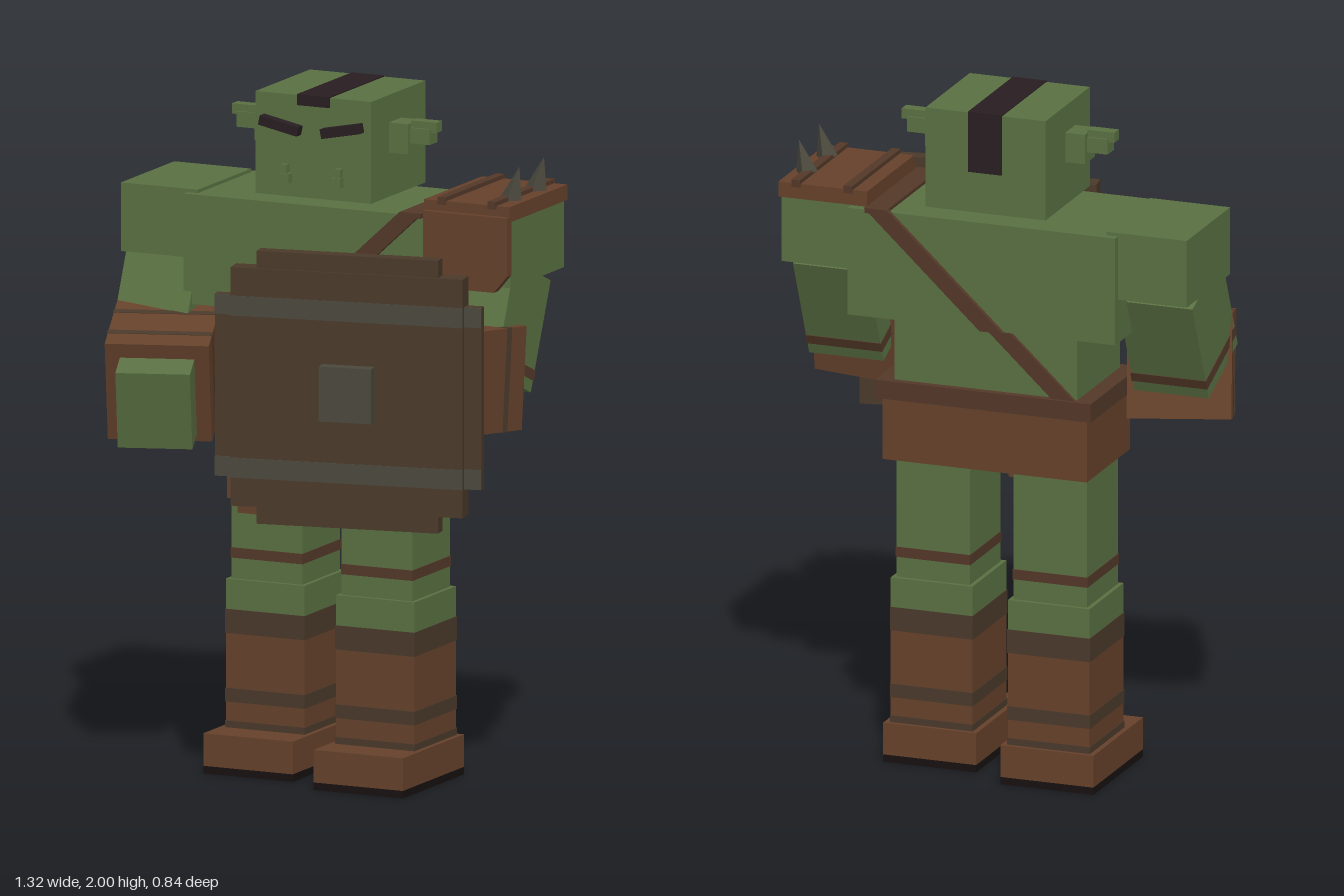
import * as THREE from 'three';

const mat = (name, color) => {
  const m = new THREE.MeshStandardMaterial({ color });
  m.name = name;
  return m;
};

export function createModel() {
  const green = mat('green skin', 0x5a7042);
  const brown = mat('leather', 0x65412b);
  const dark = mat('dark wood', 0x4a392a);
  const strapMat = mat('strap leather', 0x533828);
  const black = mat('black hair', 0x281e21);
  const sole = mat('sole', 0x171110);
  const metal = mat('dull metal', 0x4a483d);
  const model = new THREE.Group();
  const CX = -0.03; // body mirror plane

  // Box given by its extents
  const span = (name, m, x0, x1, y0, y1, z0, z1, parent = model) => {
    const mesh = new THREE.Mesh(new THREE.BoxGeometry(x1 - x0, y1 - y0, z1 - z0), m);
    mesh.position.set((x0 + x1) / 2, (y0 + y1) / 2, (z0 + z1) / 2);
    mesh.name = name;
    parent.add(mesh);
    return mesh;
  };
  // Box given by size and centre
  const block = (name, m, w, h, d, x, y, z, parent = model) =>
    span(name, m, x - w / 2, x + w / 2, y - h / 2, y + h / 2, z - d / 2, z + d / 2, parent);
  // Flat outline extruded along z
  const plate = (name, m, pts, z0, z1) => {
    const shape = new THREE.Shape(pts.map(p => new THREE.Vector2(p[0], p[1])));
    const geo = new THREE.ExtrudeGeometry(shape, { depth: z1 - z0, bevelEnabled: false });
    const mesh = new THREE.Mesh(geo, m);
    mesh.position.z = z0;
    mesh.name = name;
    model.add(mesh);
  };

  // Torso, belt and hips
  span('chest', green, -0.44, 0.38, 1.36, 1.68, -0.405, -0.015);
  span('waist', green, -0.31, 0.25, 1.15, 1.37, -0.37, -0.03);
  span('belt', strapMat, -0.36, 0.3, 1.115, 1.17, -0.392, 0);
  span('hips', brown, -0.343, 0.283, 0.93, 1.12, -0.378, -0.035);

  // Diagonal strap, front and back, stepping in at the waist
  const sx = y => 0.29 + (y - 1.69) * 1.077;
  const band = (y0, y1, z0, z1) => plate('chestStrap', strapMat, [
    [sx(y0) - 0.035, y0], [sx(y0) + 0.035, y0], [sx(y1) + 0.035, y1], [sx(y1) - 0.035, y1]], z0, z1);
  band(1.36, 1.69, -0.016, 0);
  band(1.165, 1.36, -0.035, -0.012);
  band(1.36, 1.69, -0.42, -0.404);
  band(1.165, 1.36, -0.382, -0.365);
  span('strapOverShoulder', strapMat, 0.255, 0.322, 1.675, 1.69, -0.42, 0);

  // Ragged loincloth panels with stepped hems
  for (const [x0, x1] of [[-0.29, -0.125], [-0.115, 0.035], [0.045, 0.265]]) {
    const s = 0.033;
    plate('loincloth', brown, [
      [x0, 1.12], [x0, 0.81], [x0 + s, 0.81], [x0 + s, 0.77], [x1 - s, 0.77],
      [x1 - s, 0.8], [x1, 0.8], [x1, 1.12]], -0.02, 0.008);
  }

  // Legs and boots, the left one a little ahead
  for (const s of [-1, 1]) {
    const leg = new THREE.Group();
    leg.name = s < 0 ? 'rightLeg' : 'leftLeg';
    leg.position.set(CX + s * 0.195, 0, -0.2 + s * 0.04);
    model.add(leg);
    block('thigh', green, 0.225, 0.42, 0.245, 0, 0.75, 0, leg);
    block('legStrap', strapMat, 0.229, 0.03, 0.249, 0, 0.625, 0, leg);
    block('knee', green, 0.25, 0.09, 0.27, 0, 0.505, 0, leg);
    block('boot', brown, 0.25, 0.36, 0.27, 0, 0.28, 0, leg);
    block('bootCuff', dark, 0.254, 0.07, 0.274, 0, 0.427, 0, leg);
    block('bootBand', dark, 0.254, 0.04, 0.274, 0, 0.212, 0, leg);
    block('ankleBand', dark, 0.254, 0.02, 0.274, 0, 0.127, 0, leg);
    block('foot', brown, 0.285, 0.095, 0.395, 0, 0.0695, 0.0475, leg);
    block('sole', sole, 0.285, 0.022, 0.395, 0, 0.011, 0.0475, leg);
  }

  // Head with hair strip, brows and tusks
  span('head', green, -0.215, 0.153, 1.7, 1.997, -0.375, -0.023);
  span('hairTop', black, -0.082, 0.022, 1.99, 2, -0.377, -0.021);
  span('hairBack', black, -0.082, 0.022, 1.82, 2, -0.378, -0.37);
  span('hairFront', black, -0.082, 0.022, 1.968, 2, -0.03, -0.02);
  for (const s of [-1, 1]) {
    const brow = block('eyebrow', black, 0.125, 0.028, 0.03, CX + s * 0.098, 1.908, -0.007);
    brow.rotation.z = s * 0.2;
    block('tusk', green, 0.028, 0.028, 0.022, CX + s * 0.082, 1.755, -0.011);
    block('tuskTip', green, 0.018, 0.05, 0.018, CX + s * 0.085, 1.77, -0.012);
    // Ear in three shrinking steps
    block('earBase', green, 0.062, 0.088, 0.08, CX + s * 0.214, 1.873, -0.178);
    block('earMiddle', green, 0.065, 0.045, 0.05, CX + s * 0.275, 1.882, -0.175);
    block('earTip', green, 0.082, 0.03, 0.036, CX + s * 0.285, 1.91, -0.175);
  }

  // Arms
  const arm = (side, fore) => {
    const x = CX + (side === 'right' ? -1 : 1) * 0.498;
    block(side + 'Shoulder', green, 0.245, 0.2, 0.345, x, 1.59, -0.21);
    const upper = new THREE.Group();
    upper.name = side + 'UpperArm';
    upper.position.set(x, 1.36, -0.135);
    upper.rotation.x = -0.4;
    model.add(upper);
    block('upperArm', green, 0.228, 0.33, 0.25, 0, 0, 0, upper);
    block('armBand', strapMat, 0.232, 0.03, 0.254, 0, -0.115, 0, upper);
    const lower = new THREE.Group();
    lower.name = side + 'Forearm';
    lower.position.set(...fore.at);
    lower.rotation.set(fore.pitch, fore.yaw, 0, 'YXZ');
    model.add(lower);
    block('bracer', brown, 0.3, 0.3, 0.305, 0, 0, 0, lower);
    for (const z of [-0.07, 0.07]) block('bracerBand', dark, 0.303, 0.303, 0.022, 0, 0, z, lower);
    block('hand', green, 0.215, 0.235, 0.2, 0, -0.01, fore.reach, lower);
  };
  arm('right', { at: [-0.466, 1.175, 0.054], pitch: 0.24, yaw: 0.33, reach: 0.157 });
  arm('left', { at: [0.437, 1.235, 0.04], pitch: -0.08, yaw: -0.18, reach: 0.15 });

  // Shoulder pad with ridges and spikes
  span('shoulderPad', brown, 0.325, 0.597, 1.685, 1.73, -0.392, -0.018);
  plate('padFrontFlap', brown, [
    [0.33, 1.7], [0.33, 1.53], [0.37, 1.48], [0.555, 1.48], [0.597, 1.53], [0.597, 1.7]], -0.03, 0);
  for (const x of [0.382, 0.542]) span('padRidge', strapMat, x - 0.013, x + 0.013, 1.72, 1.742, -0.397, -0.013);
  for (const z of [-0.285, -0.125]) {
    const spike = new THREE.Mesh(new THREE.ConeGeometry(0.034, 0.1, 4).toNonIndexed(), metal);
    spike.geometry.computeVertexNormals();
    spike.name = 'spike';
    spike.position.set(0.563, 1.779, z);
    spike.rotation.z = -0.25;
    model.add(spike);
  }

  // Shield: three crossed slabs, metal bands on its face and a boss
  const shield = new THREE.Group();
  shield.name = 'shield';
  shield.position.set(0.258, 1.2275, 0.33);
  shield.rotation.y = 0.18;
  model.add(shield);
  block('shieldBody', dark, 0.69, 0.695, 0.06, 0, 0, 0, shield);
  block('shieldTall', dark, 0.54, 0.795, 0.045, 0, 0, 0, shield);
  block('shieldWide', dark, 0.792, 0.53, 0.03, 0, 0, 0, shield);
  for (const s of [-1, 1]) {
    block('shieldBand', metal, 0.69, 0.058, 0.004, 0, s * 0.236, 0.031, shield);
    for (const e of [-1, 1]) block('bandEnd', metal, 0.05, 0.058, 0.004, e * 0.371, s * 0.236, 0.016, shield);
  }
  block('boss', metal, 0.155, 0.16, 0.045, 0.006, 0, 0.048, shield);

  return model;
}
